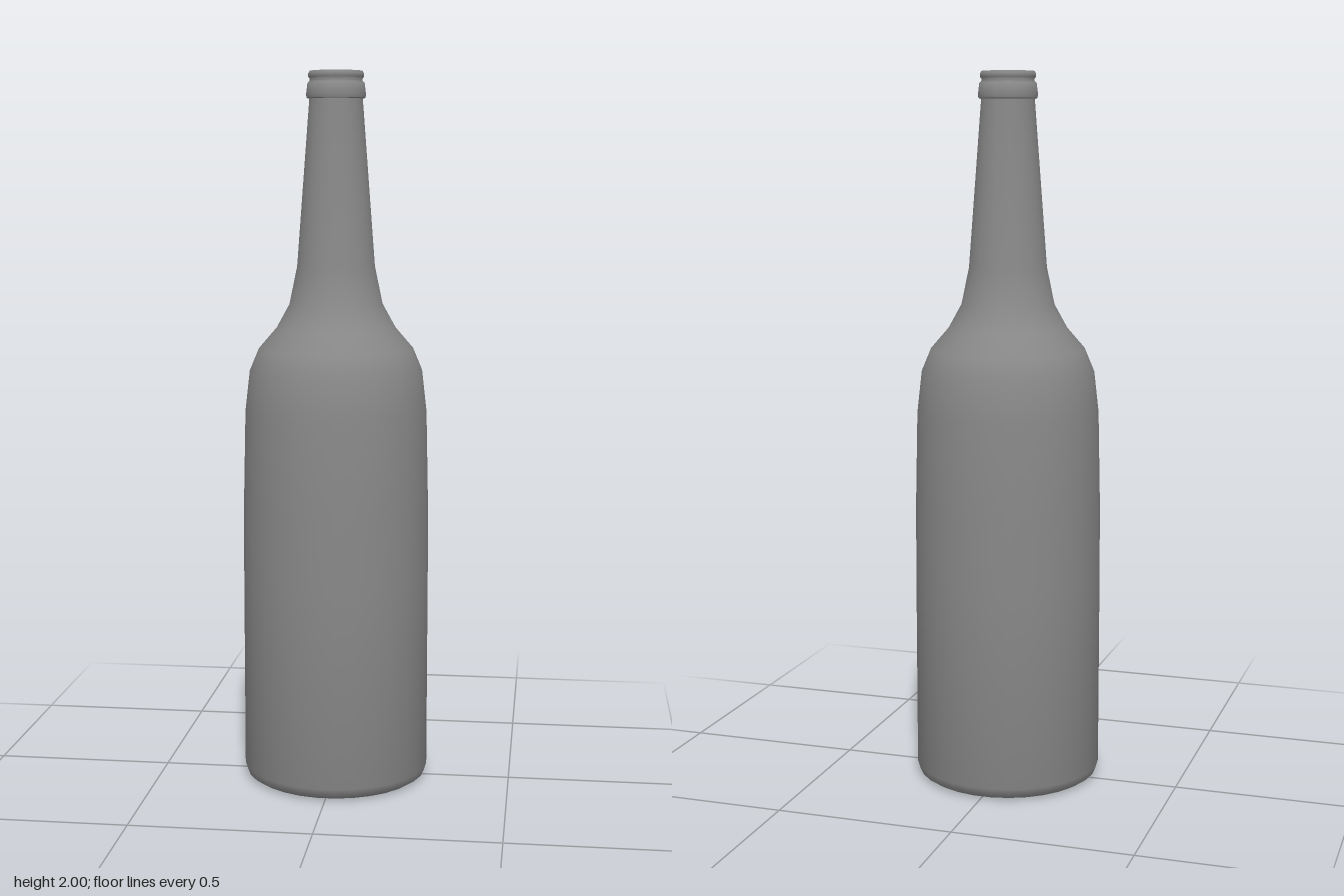
import * as THREE from 'three';
import { toCreasedNormals } from 'three/addons/utils/BufferGeometryUtils.js';

const SEGMENTS = 30;

// Revolves [radius, height] pairs about the y axis, with a vertex on +x
function revolve(name, profile, material) {
  const points = profile.map(([r, y]) => new THREE.Vector2(r, y));
  const lathe = new THREE.LatheGeometry(points, SEGMENTS, Math.PI / 2);
  const mesh = new THREE.Mesh(toCreasedNormals(lathe, 0.9), material);
  mesh.name = name;
  return mesh;
}

export function createModel() {
  const group = new THREE.Group();
  group.name = 'bottle';
  const glass = new THREE.MeshStandardMaterial({ color: 0x888888, side: THREE.DoubleSide });

  // Dished underside, straight body, shoulder and tapering neck
  group.add(revolve('body', [
    [0, 0.04], [0.06, 0.036], [0.13, 0.024], [0.19, 0.007], [0.22, 0],
    [0.242, 0.003], [0.256, 0.012], [0.263, 0.035],
    [0.263, 0.6], [0.262, 0.8], [0.256, 1.06], [0.243, 1.175], [0.218, 1.235],
    [0.168, 1.293], [0.131, 1.36], [0.109, 1.465], [0.074, 1.925],
  ], glass));

  // Flared collar, narrow groove and rounded lip
  group.add(revolve('lip', [
    [0.074, 1.925], [0.081, 1.927], [0.083, 1.935], [0.079, 1.968], [0.073, 1.973],
    [0.073, 1.979], [0.077, 1.984], [0.077, 1.993], [0.073, 2], [0.064, 2], [0.06, 1.993],
  ], glass));

  // Inner wall and floor
  group.add(revolve('inside', [
    [0.06, 1.993], [0.06, 1.92], [0.093, 1.465], [0.116, 1.355], [0.155, 1.28],
    [0.202, 1.22], [0.226, 1.165], [0.239, 1.06], [0.246, 0.6], [0.246, 0.08],
    [0.23, 0.06], [0, 0.07],
  ], glass));

  return group;
}
